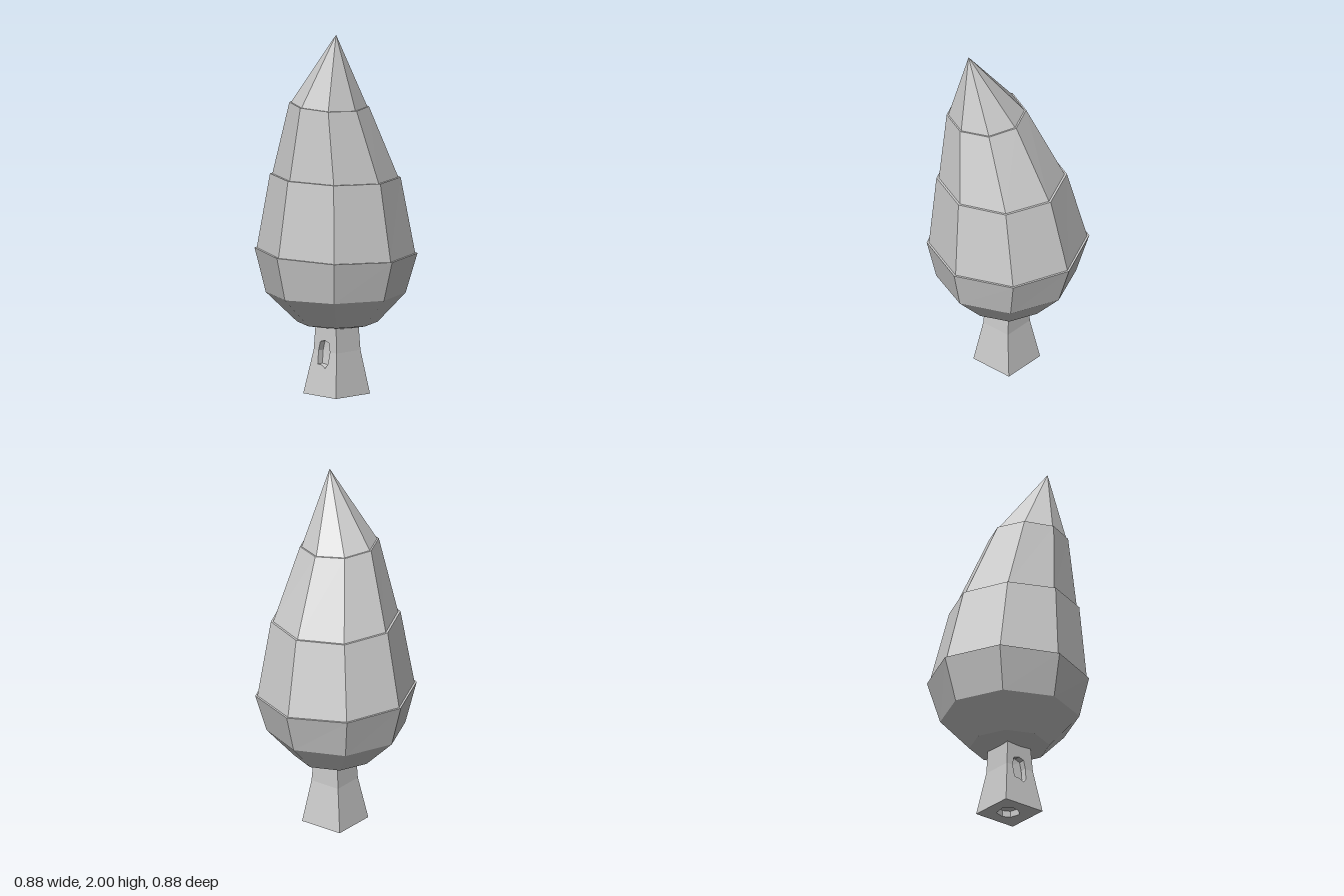
import * as THREE from 'three';

const material = new THREE.MeshStandardMaterial({ color: 0xcccccc, flatShading: true, side: THREE.DoubleSide });

// Surface through a stack of rings (bottom to top), each a list of [x, y, z]
function loft(rings, closed = true) {
  const pos = [];
  for (let j = 0; j < rings.length - 1; j++) {
    const a = rings[j], b = rings[j + 1], n = a.length;
    for (let i = 0; i < (closed ? n : n - 1); i++) {
      const k = (i + 1) % n;
      pos.push(...a[i], ...a[k], ...b[k], ...a[i], ...b[k], ...b[i]);
    }
  }
  const geo = new THREE.BufferGeometry();
  geo.setAttribute('position', new THREE.Float32BufferAttribute(pos, 3));
  geo.computeVertexNormals();
  return geo;
}

// Flat panel in (u, v), placed in space by a mapping rule
function panel(outline, place, hole) {
  const toV = (pts) => pts.map(([u, v]) => new THREE.Vector2(u, v));
  const shape = new THREE.Shape(toV(outline));
  if (hole) shape.holes.push(new THREE.Path(toV(hole)));
  const geo = new THREE.ShapeGeometry(shape).toNonIndexed();
  const p = geo.attributes.position;
  for (let i = 0; i < p.count; i++) p.setXYZ(i, ...place(p.getX(i), p.getY(i)));
  geo.computeVertexNormals();
  return geo;
}

// Eight-sided ring, slightly tilted
function octagon(cx, y, cz, r, tx = 0, tz = 0) {
  return Array.from({ length: 8 }, (_, i) => {
    const a = (i * Math.PI) / 4, s = Math.sin(a), c = Math.cos(a);
    return [cx + r * s, y + tx * s + tz * c, cz + r * c];
  });
}

function createFoliage() {
  const group = new THREE.Group();
  group.name = 'foliage';
  // Rims between the tiers
  const rim1 = (r) => octagon(0, 0.783, 0, r, -0.012, 0.007);
  const rim2 = (r) => octagon(0.022, 1.2, 0.026, r, -0.004, 0.008);
  const rim3 = (r) => octagon(0.057, 1.603, 0.105, r, -0.012, 0.004);
  const tiers = {
    foliageBase: [
      octagon(0.01, 0.365, 0, 0.001), octagon(0.01, 0.368, -0.01, 0.1),
      octagon(0.01, 0.394, 0, 0.218), octagon(0.006, 0.555, 0.008, 0.378), rim1(0.44),
    ],
    lowerTier: [rim1(0.44), rim1(0.428), rim2(0.353)],
    middleTier: [rim2(0.353), rim2(0.34), rim3(0.215)],
    topTier: [rim3(0.215), rim3(0.206), octagon(0.155, 2, 0.147, 0.0005)],
  };
  for (const [name, rings] of Object.entries(tiers)) {
    const mesh = new THREE.Mesh(loft(rings), material);
    mesh.name = name;
    group.add(mesh);
  }
  return group;
}

function createTrunk() {
  const group = new THREE.Group();
  group.name = 'trunk';
  const add = (name, geo) => {
    const mesh = new THREE.Mesh(geo, material);
    mesh.name = name;
    group.add(mesh);
  };

  // Back and side faces of the flared square trunk: y, left, right, front, back
  const levels = [[0, -0.12, 0.135, 0.13, -0.125], [0.24, -0.08, 0.1, 0.09, -0.087], [0.42, -0.07, 0.085, 0.082, -0.083]];
  add('trunkSides', loft(levels.map(([y, l, r, f, b]) => [[r, y, f], [r, y, b], [l, y, b], [l, y, f]]), false));

  // Front face, split at the bend, with a knot hole cut through both halves
  const frontZ = (y) => (y < 0.24 ? 0.13 - y / 6 : 0.09 - (y - 0.24) * 0.044);
  const onFront = (x, y) => [x, y, frontZ(y)];
  const inKnot = (x, y) => [x, y, frontZ(y) - 0.035];
  const knotLow = [[-0.042, 0.24], [-0.036, 0.168], [-0.006, 0.166], [0.025, 0.15], [0.043, 0.175], [0.047, 0.24]];
  const knotHigh = [[0.047, 0.24], [0.037, 0.288], [0.005, 0.3], [-0.03, 0.29], [-0.042, 0.24]];
  add('trunkFrontLower', panel([[-0.12, 0], [0.135, 0], [0.1, 0.24], ...[...knotLow].reverse(), [-0.08, 0.24]], onFront));
  add('trunkFrontUpper', panel([[-0.08, 0.24], ...[...knotHigh].reverse(), [0.1, 0.24], [0.085, 0.42], [-0.07, 0.42]], onFront));
  const knot = [...knotLow, ...knotHigh.slice(1, -1)];
  const at = (place) => knot.map(([x, y]) => place(x, y));
  add('knotWall', loft([at(inKnot), at(onFront)].reverse()));
  add('knotFloor', panel(knot, inKnot));

  // Underside with an irregular hollow
  const hollow = [[-0.06, -0.03], [-0.02, -0.065], [0.03, -0.05], [0.065, -0.02], [0.05, 0.04], [0.01, 0.06], [-0.045, 0.045]];
  const under = (h) => (x, v) => [x, h, -v];
  add('trunkBottom', panel([[-0.12, 0.125], [-0.12, -0.13], [0.135, -0.13], [0.135, 0.125]], (x, v) => [x, 0, -v], hollow));
  add('hollowWall', loft([0, 0.035].map((h) => hollow.map(([x, v]) => under(h)(x, v)))));
  add('hollowFloor', panel(hollow, under(0.035)));
  // Panels on the underside face down
  for (const mesh of group.children.slice(-3)) {
    const p = mesh.geometry.attributes.position;
    for (let i = 0; i < p.count; i += 3) {
      const a = [p.getX(i), p.getY(i), p.getZ(i)];
      p.setXYZ(i, p.getX(i + 1), p.getY(i + 1), p.getZ(i + 1));
      p.setXYZ(i + 1, ...a);
    }
    mesh.geometry.computeVertexNormals();
  }
  return group;
}

export function createModel() {
  const model = new THREE.Group();
  model.name = 'tree';
  model.add(createFoliage(), createTrunk());
  return model;
}
